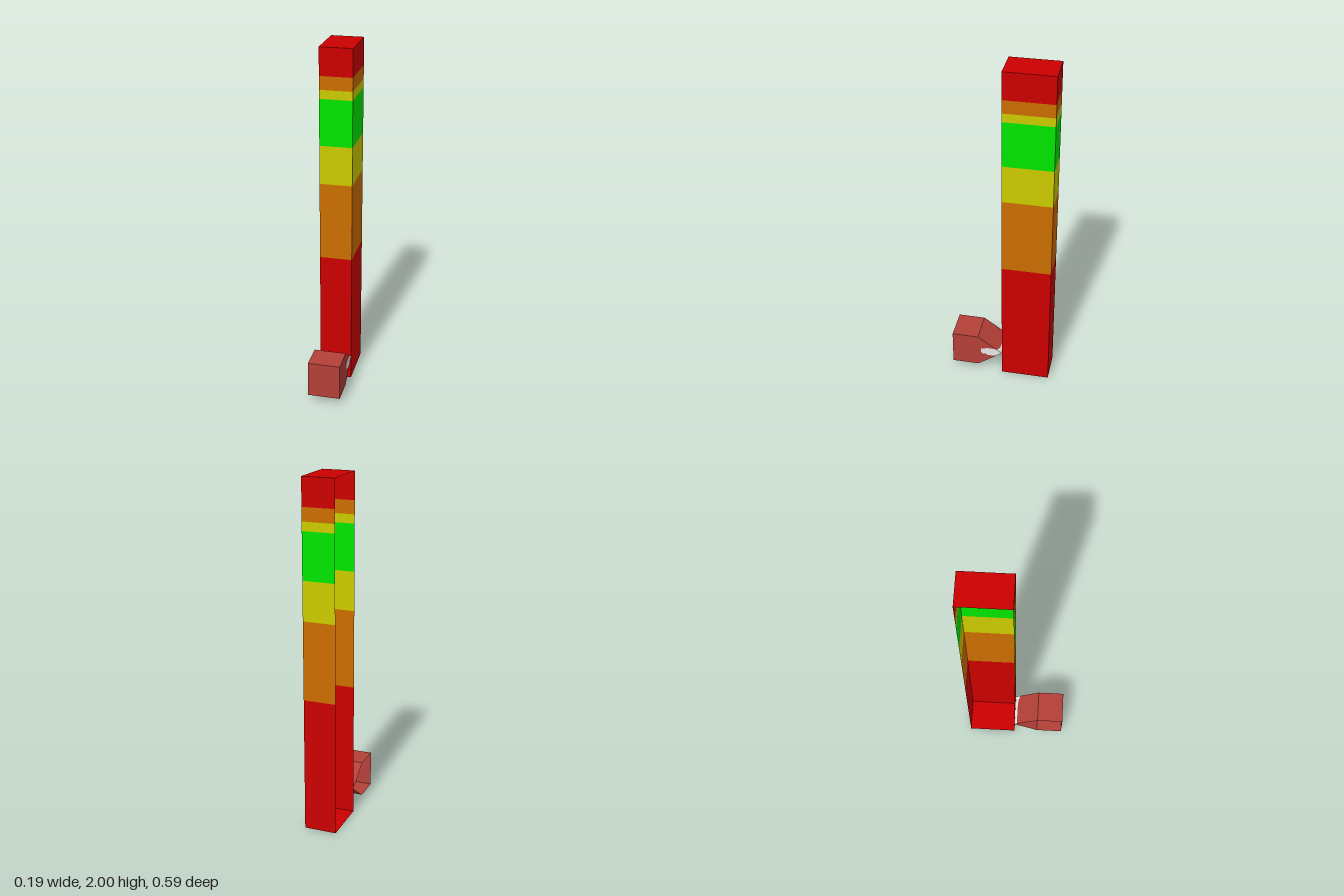
import * as THREE from 'three';

const W = 0.093;                    // half width
const BACK = -0.293, SEAM = -0.009, FRONT = 0.293;
const SHOULDER = 0.137;             // where the pointer starts to taper
const LOW = 0.04, HIGH = 0.25, TIP = 0.146;

const mat = (name, color) => {
  const m = new THREE.MeshStandardMaterial({ color, side: THREE.DoubleSide });
  m.name = name;
  return m;
};

// Flat polygon drawn in (u, v) and placed in space by a rule
function face(parent, name, material, points, place) {
  const shape = new THREE.Shape(points.map(([u, v]) => new THREE.Vector2(u, v)));
  const geo = new THREE.ShapeGeometry(shape);
  const pos = geo.attributes.position;
  for (let i = 0; i < pos.count; i++) pos.setXYZ(i, ...place(pos.getX(i), pos.getY(i)));
  geo.computeVertexNormals();
  const mesh = new THREE.Mesh(geo, material);
  mesh.name = name;
  parent.add(mesh);
}

const rect = (u0, v0, u1, v1) => [[u0, v0], [u1, v0], [u1, v1], [u0, v1]];

// Placing rules, each with its outside facing outwards
const facingFront = (z) => (u, v) => [u, v, z];
const facingBack = (z) => (u, v) => [-u, v, z];
const facingRight = (u, v) => [W, v, -u];
const facingUp = (y) => (u, v) => [u, y, -v];
const facingDown = (y) => (u, v) => [u, y, v];

export function createModel() {
  const model = new THREE.Group();
  model.name = 'powerGauge';

  const red = mat('red', 0xcc0000);
  const orange = mat('orange', 0xcc6e00);
  const yellow = mat('yellow', 0xcccc00);
  const green = mat('green', 0x00ff00);
  const brick = mat('brick red', 0xb44038);
  const white = mat('white', 0xfafafa);

  // Tall gauge of coloured bands, open on the -x side
  const gauge = new THREE.Group();
  gauge.name = 'gauge';
  model.add(gauge);
  const levels = [0, 0.779, 1.229, 1.452, 1.717, 1.767, 1.843, 2];
  const colours = [red, orange, yellow, green, yellow, orange, red];
  colours.forEach((c, i) => {
    const y0 = levels[i], y1 = levels[i + 1];
    face(gauge, 'bandFront', c, rect(-W, y0, W, y1), facingFront(SEAM));
    face(gauge, 'bandBack', c, rect(-W, y0, W, y1), facingBack(BACK));
    face(gauge, 'bandSide', c, rect(-SEAM, y0, -BACK, y1), facingRight);
  });
  face(gauge, 'gaugeTop', red, rect(-W, -SEAM, W, -BACK), facingUp(2));
  face(gauge, 'gaugeBottom', red, rect(-W, BACK, W, SEAM), facingDown(0));

  // Pointer block, also open on the -x side
  const pointer = new THREE.Group();
  pointer.name = 'pointer';
  model.add(pointer);
  face(pointer, 'pointerFront', brick, rect(-W, LOW, W, HIGH), facingFront(FRONT));
  face(pointer, 'pointerTop', brick, rect(-W, -FRONT, W, -SHOULDER), facingUp(HIGH));
  face(pointer, 'pointerBottom', brick, rect(-W, SHOULDER, W, FRONT), facingDown(LOW));

  // Tapered faces: brick with a white tip that widens towards +x
  const slopeY = (z, end) => TIP + (end - TIP) * (z - SEAM) / (SHOULDER - SEAM);
  const edge = [[-W, 0.006], [0.045, 0.006], [0.065, 0.01], [0.08, 0.017], [W, 0.02]];
  const tipPoints = [[W, SEAM], [-W, SEAM], ...edge];
  const bodyPoints = [...edge, [W, SHOULDER], [-W, SHOULDER]];
  const flip = (pts) => pts.map(([x, z]) => [x, -z]);
  const upper = (u, v) => [u, slopeY(-v, HIGH), -v];
  const lower = (u, v) => [u, slopeY(v, LOW), v];
  face(pointer, 'upperTaper', brick, flip(bodyPoints), upper);
  face(pointer, 'upperTip', white, flip(tipPoints), upper);
  face(pointer, 'lowerTaper', brick, bodyPoints, lower);
  face(pointer, 'lowerTip', white, tipPoints, lower);

  // Side of the pointer with its ragged white patch, points as (z, y)
  const ragged = [
    [0.02, slopeY(0.02, HIGH)], [0.03, 0.172], [0.085, 0.172], [0.098, 0.165],
    [0.118, 0.163], [0.12, 0.137], [0.11, 0.124], [0.092, 0.127], [0.078, 0.118],
    [0.03, 0.119], [0.02, slopeY(0.02, LOW)],
  ];
  const toSide = (pts) => pts.map(([z, y]) => [-z, y]);
  face(pointer, 'sidePatch', white, toSide([[SEAM, TIP], ...ragged]), facingRight);
  face(pointer, 'pointerSide', brick, toSide([
    ...ragged, [SHOULDER, LOW], [FRONT, LOW], [FRONT, HIGH], [SHOULDER, HIGH],
  ]), facingRight);

  return model;
}
